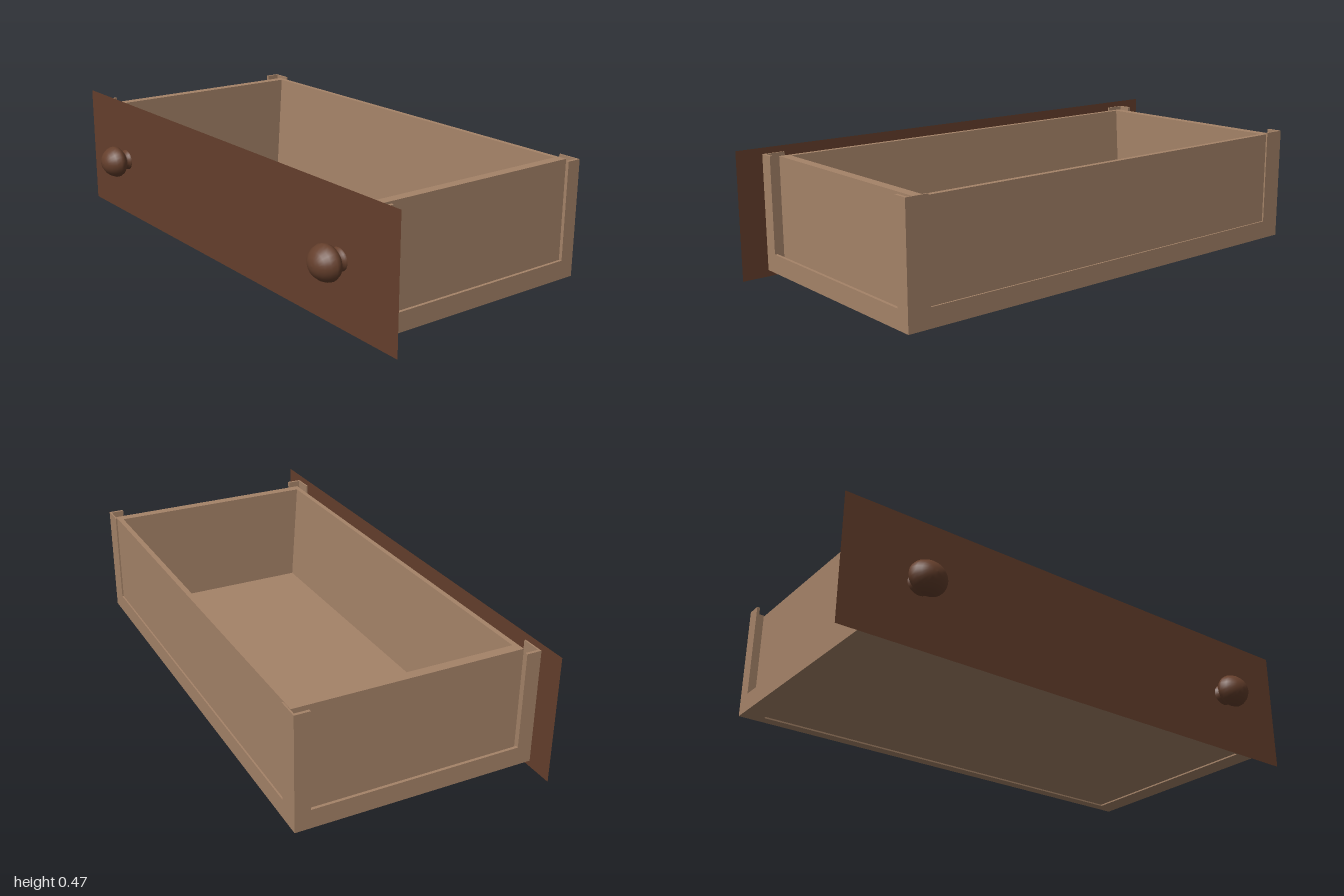
import * as THREE from 'three';

export function createModel() {
  const root = new THREE.Group();
  root.name = 'drawer';
  const wood = new THREE.MeshStandardMaterial({ color: 0xa58368 });
  wood.name = 'light wood';
  const dark = new THREE.MeshStandardMaterial({ color: 0x653f2c, side: THREE.DoubleSide });
  dark.name = 'dark wood';

  const add = (name, geo, mat, x = 0, y = 0, z = 0) => {
    const m = new THREE.Mesh(geo, mat);
    m.name = name;
    m.position.set(x, y, z);
    root.add(m);
    return m;
  };
  const polygon = (pts) => new THREE.Shape(pts.map(([a, b]) => new THREE.Vector2(a, b)));
  const extrude = (shape, depth) => new THREE.ExtrudeGeometry(shape, { depth, bevelEnabled: false });

  // Thin outer frame: bottom rail with a post at each end
  const frame = (width, post, depth) => {
    const w = width / 2, i = w - post;
    return extrude(polygon([[-w, 0.025], [w, 0.025], [w, 0.453], [i, 0.453],
      [i, 0.095], [-i, 0.095], [-i, 0.453], [-w, 0.453]]), depth);
  };

  // Floor, with a slightly raised border underneath; shape is (x, -z)
  add('floor', new THREE.BoxGeometry(1.64, 0.01, 0.82), wood, 0, 0.036, -0.06);
  const border = polygon([[-0.89, -0.385], [0.89, -0.385], [0.89, 0.495], [-0.89, 0.495]]);
  border.holes.push(polygon([[-0.82, -0.345], [-0.82, 0.46], [0.82, 0.46], [0.82, -0.345]]));
  add('floorBorder', extrude(border, 0.01), wood, 0, 0.025, 0).rotation.x = -Math.PI / 2;

  // Side walls, standing just inside their frames
  for (const s of [-1, 1]) {
    const side = s > 0 ? 'left' : 'right';
    add(side + 'Wall', new THREE.BoxGeometry(0.037, 0.412, 0.843), wood, s * 0.8335, 0.239, -0.0655);
    const f = add(side + 'Frame', frame(0.89, 0.056, 0.011), wood, s * 0.889, 0, -0.055);
    f.rotation.y = s * Math.PI / 2;
  }

  // Front and back walls, thicker toward the floor; profile is (z, y)
  const wall = (name, pts) => {
    const m = add(name, extrude(polygon(pts.map(([z, y]) => [-z, y])), 1.63), wood, -0.815);
    m.rotation.y = Math.PI / 2;
  };
  wall('backWall', [[-0.487, 0.033], [-0.441, 0.033], [-0.441, 0.041], [-0.467, 0.445], [-0.487, 0.445]]);
  wall('frontWall', [[0.356, 0.033], [0.31, 0.033], [0.31, 0.041], [0.337, 0.445], [0.356, 0.445]]);
  add('backFrame', frame(1.778, 0.074, 0.006), wood, 0, 0, -0.5);
  add('frontFrame', frame(1.778, 0.074, 0.006), wood, 0, 0, 0.384);

  // Broad thin face board
  add('facePanel', new THREE.PlaneGeometry(2, 0.475), dark, 0, 0.2375, 0.393);

  // Turned knobs, a little wider than tall; profile is (radius, distance from board)
  const profile = [[0.04, 0], [0.038, 0.006], [0.033, 0.013], [0.033, 0.019], [0.045, 0.025],
    [0.056, 0.034], [0.062, 0.046], [0.062, 0.057], [0.055, 0.075], [0.043, 0.09],
    [0.027, 0.102], [0.012, 0.106], [0, 0.107]];
  const knobGeo = new THREE.LatheGeometry(profile.map(([r, h]) => new THREE.Vector2(r, h)), 24);
  knobGeo.rotateX(Math.PI / 2);
  knobGeo.scale(1.13, 1, 1);
  for (const s of [-1, 1]) add(s > 0 ? 'leftKnob' : 'rightKnob', knobGeo, dark, s * 0.71, 0.233, 0.393);

  return root;
}
